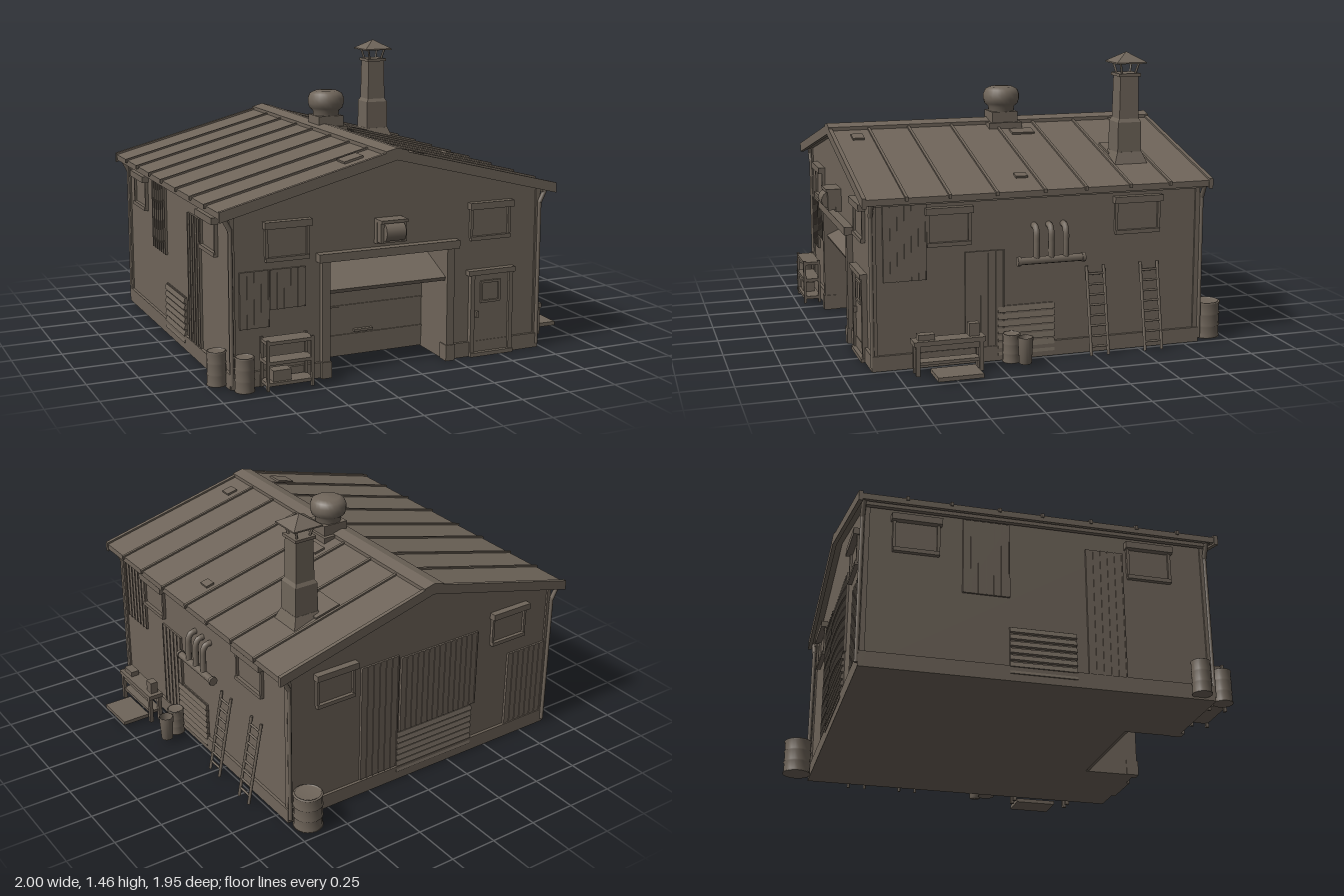
import * as THREE from 'three';

const mat = new THREE.MeshStandardMaterial({ color: 0x6f655a });
mat.name = 'weathered grey brown';

const RIDGE = -0.09, SLOPE = 0.255;
const roofY = (x) => 1.065 - SLOPE * Math.abs(x - RIDGE);

function add(parent, name, geo, x = 0, y = 0, z = 0, rx = 0, ry = 0, rz = 0) {
  const m = new THREE.Mesh(geo, mat);
  m.name = name;
  m.position.set(x, y, z);
  m.rotation.set(rx, ry, rz);
  parent.add(m);
  return m;
}
// Box given by its min and max on each axis
function box(parent, name, x0, x1, y0, y1, z0, z1) {
  return add(parent, name, new THREE.BoxGeometry(x1 - x0, y1 - y0, z1 - z0), (x0 + x1) / 2, (y0 + y1) / 2, (z0 + z1) / 2);
}
function extrude(parent, name, pts, z0, z1) {
  const s = new THREE.Shape(pts.map((p) => new THREE.Vector2(p[0], p[1])));
  return add(parent, name, new THREE.ExtrudeGeometry(s, { depth: z1 - z0, bevelEnabled: false }), 0, 0, z0);
}
// Round rod between two points
function rod(parent, name, a, b, r) {
  const c = new THREE.LineCurve3(new THREE.Vector3(...a), new THREE.Vector3(...b));
  const m = add(parent, name, new THREE.CylinderGeometry(r, r, c.getLength(), 8));
  m.position.copy(c.getPoint(0.5));
  m.quaternion.setFromUnitVectors(new THREE.Vector3(0, 1, 0), c.getTangent(0));
}
function lathe(parent, name, pts, x, y, z, seg = 20) {
  return add(parent, name, new THREE.LatheGeometry(pts.map((p) => new THREE.Vector2(p[0], p[1])), seg), x, y, z);
}
function group(parent, name, x = 0, y = 0, z = 0, ry = 0) {
  const g = new THREE.Group();
  g.name = name;
  g.position.set(x, y, z);
  g.rotation.y = ry;
  parent.add(g);
  return g;
}

// Wall details: local x along the wall, local z outwards
function windowUnit(w, x0, x1, y0 = 0.6, y1 = 0.77) {
  const g = group(w, 'window');
  box(g, 'windowPane', x0, x1, y0, y1, -0.01, 0.004);
  box(g, 'windowLintel', x0 - 0.015, x1 + 0.015, y1 - 0.025, y1 + 0.008, 0, 0.035);
  box(g, 'windowSill', x0 - 0.005, x1 + 0.005, y0 - 0.012, y0 + 0.008, 0, 0.022);
  for (const x of [x0, x1]) box(g, 'windowJamb', x - 0.007, x + 0.007, y0, y1, 0, 0.016);
}
function sheet(w, x0, x1, y0, y1) {
  const g = group(w, 'patchSheet');
  box(g, 'sheet', x0, x1, y0, y1, -0.005, 0.009);
  const n = Math.max(2, Math.round((x1 - x0) / 0.035));
  for (let i = 0; i <= n; i++) {
    const x = x0 + ((x1 - x0) * i) / n;
    box(g, 'sheetRib', x - 0.003, x + 0.003, y0, y1, 0, 0.013);
  }
}
function louvre(w, x0, x1, y0, y1) {
  const g = group(w, 'corrugatedPanel');
  box(g, 'backing', x0, x1, y0, y1, -0.005, 0.006);
  const n = Math.round((y1 - y0) / 0.034), h = (y1 - y0) / n;
  for (let i = 0; i < n; i++)
    add(g, 'corrugation', new THREE.BoxGeometry(x1 - x0, h * 0.75, 0.012), (x0 + x1) / 2, y0 + (i + 0.5) * h, 0.01, -0.3);
}
function barrel(parent, x, z, r, h) {
  const p = [[0, 0], [r, 0]];
  for (const t of [0.03, 0.33, 0.66, 0.97]) p.push([r * 0.94, h * (t - 0.025)], [r, h * t], [r * 0.94, h * (t + 0.025)]);
  p.push([r * 0.85, h], [r * 0.85, h * 0.96], [0, h * 0.96]);
  lathe(parent, 'barrel', p, x, 0.01, z);
}

export function createModel() {
  const root = new THREE.Group();
  root.name = 'workshop';

  // Walls with a recessed garage bay
  const gable = [[0.72, 0.835], [RIDGE, 1.04], [-0.9, 0.835]];
  extrude(root, 'mainWalls', [[-0.9, 0], [0.72, 0], ...gable], -0.82, 0.58);
  extrude(root, 'frontWalls', [[-0.9, 0], [-0.42, 0], [-0.42, 0.56], [0.2, 0.56], [0.2, 0], [0.72, 0], ...gable], 0.58, 0.84);

  // Plinth and corner posts
  box(root, 'plinthBack', -0.915, 0.735, 0, 0.075, -0.835, -0.8);
  box(root, 'plinthLeft', 0.7, 0.735, 0, 0.075, -0.83, 0.85);
  box(root, 'plinthRight', -0.915, -0.88, 0, 0.075, -0.83, 0.85);
  box(root, 'plinthFront', -0.91, -0.46, 0, 0.075, 0.82, 0.855);
  box(root, 'plinthFront', 0.24, 0.73, 0, 0.075, 0.82, 0.855);
  for (const x of [-0.897, 0.717]) for (const z of [-0.817, 0.837]) box(root, 'cornerPost', x - 0.012, x + 0.012, 0, 0.83, z - 0.012, z + 0.012);

  // Roof shell, ribs, edge trims and ridge cap
  const chevron = (lift, t, half) => [[RIDGE - half, roofY(RIDGE - half) + lift - t], [RIDGE, 1.065 + lift - t], [RIDGE + half, roofY(RIDGE + half) + lift - t],
    [RIDGE + half, roofY(RIDGE + half) + lift], [RIDGE, 1.065 + lift], [RIDGE - half, roofY(RIDGE - half) + lift]];
  extrude(root, 'roof', chevron(0, 0.03, 0.875), -0.86, 0.89);
  for (const z of [-0.64, -0.43, -0.2, 0.01, 0.25, 0.48, 0.69]) extrude(root, 'roofRib', chevron(0.009, 0.02, 0.885), z - 0.007, z + 0.007);
  for (const z of [-0.86, 0.89]) extrude(root, 'roofEdge', chevron(0.01, 0.05, 0.88), z - 0.01, z + 0.01);
  extrude(root, 'ridgeCap', chevron(0.018, 0.03, 0.058), -0.87, 0.9);
  for (const [x, z, w, d] of [[0.62, 0.08, 0.045, 0.06], [-0.27, 0.76, 0.1, 0.09], [0.07, 0.77, 0.06, 0.06], [0.09, -0.1, 0.06, 0.12], [0.36, -0.54, 0.14, 0.17]])
    add(root, 'roofPatch', new THREE.BoxGeometry(w, 0.012, d), x, roofY(x) + 0.005, z, 0, 0, x > RIDGE ? -0.25 : 0.25);

  // Eave boards, gutters and short downpipe elbows
  for (const [x, s] of [[-0.925, -1], [0.745, 1]]) {
    box(root, 'eaveBoard', x - 0.012, x + 0.012, 0.8, 0.845, -0.84, 0.86);
    add(root, 'gutter', new THREE.CylinderGeometry(0.016, 0.016, 1.74, 8), x + s * 0.02, 0.83, 0.015, Math.PI / 2);
    for (const z of [-0.84, 0.85]) {
      rod(root, 'downpipeElbow', [x + s * 0.015, 0.82, z], [x - s * 0.02, 0.75, z], 0.012);
      rod(root, 'downpipe', [x - s * 0.02, 0.76, z], [x - s * 0.02, 0.02, z], 0.01);
    }
  }

  // Chimney with flared base and raised cap
  const ch = group(root, 'chimney', 0.46, 0, -0.53);
  const square = (name, r0, r1, y0, y1) => add(ch, name, new THREE.CylinderGeometry(r1 * Math.SQRT2, r0 * Math.SQRT2, y1 - y0, 4).toNonIndexed(), 0, (y0 + y1) / 2, 0, 0, Math.PI / 4).geometry.computeVertexNormals();
  square('flashing', 0.1, 0.065, 0.87, 0.96);
  square('chimneyBase', 0.064, 0.062, 0.95, 1.11);
  square('chimneyShoulder', 0.062, 0.05, 1.11, 1.13);
  square('chimneyStack', 0.052, 0.048, 1.12, 1.35);
  square('chimneyRim', 0.057, 0.057, 1.34, 1.355);
  square('chimneyCapEdge', 0.08, 0.08, 1.405, 1.412);
  square('chimneyCap', 0.08, 0.002, 1.412, 1.46);
  for (const x of [-1, 1]) for (const z of [-1, 1]) rod(ch, 'capLeg', [x * 0.033, 1.34, z * 0.033], [x * 0.05, 1.41, z * 0.05], 0.006);

  // Ridge ventilator
  const vent = group(root, 'ridgeVentilator', -0.05, 0, -0.03);
  box(vent, 'ventBase', -0.085, 0.085, 1.0, 1.065, -0.09, 0.09);
  box(vent, 'ventNeck', -0.07, 0.07, 1.05, 1.12, -0.07, 0.07);
  lathe(vent, 'ventHead', [[0.065, 1.1], [0.07, 1.145], [0.088, 1.16], [0.095, 1.185], [0.095, 1.21], [0.085, 1.235], [0.06, 1.248], [0, 1.252]], 0, 0, 0, 24);

  const front = group(root, 'frontWallDetails', 0, 0, 0.84);
  const left = group(root, 'leftWallDetails', 0.72, 0, 0, Math.PI / 2);
  const back = group(root, 'backWallDetails', 0, 0, -0.82, Math.PI);
  const right = group(root, 'rightWallDetails', -0.9, 0, 0, -Math.PI / 2);

  // Garage bay: posts, header, recessed door and tilted upper panel
  for (const x of [-0.44, 0.22]) {
    box(front, 'garagePost', x - 0.02, x + 0.02, 0, 0.57, -0.03, 0.03);
    box(front, 'postFoot', x - 0.025, x + 0.025, 0, 0.08, -0.03, 0.036);
  }
  box(front, 'garageHeader', -0.48, 0.26, 0.565, 0.605, -0.02, 0.045);
  box(front, 'garageDoor', -0.42, 0.2, 0.005, 0.56, -0.27, -0.24);
  for (const y of [0.11, 0.26, 0.4]) box(front, 'doorSeam', -0.42, 0.2, y - 0.004, y + 0.004, -0.24, -0.234);
  box(front, 'doorHandle', -0.18, -0.08, 0.125, 0.137, -0.24, -0.22);
  add(front, 'tiltedDoorPanel', new THREE.BoxGeometry(0.62, 0.02, 0.27), -0.11, 0.465, -0.115, 0.41);

  // Lamp housing above the bay
  const lamp = group(front, 'lamp', -0.11, 0.685, 0);
  box(lamp, 'lampBracket', -0.07, 0.07, -0.06, 0.06, 0, 0.03);
  add(lamp, 'lampDrum', new THREE.CylinderGeometry(0.045, 0.045, 0.1, 16), 0, 0, 0.055, 0, 0, Math.PI / 2);
  for (const x of [-0.06, 0.06]) box(lamp, 'lampArm', x - 0.008, x + 0.008, -0.05, 0.05, 0, 0.07);
  box(lamp, 'lampHood', -0.07, 0.07, 0.045, 0.06, 0, 0.08);

  // Side entrance
  const door = group(front, 'entranceDoor', 0.455, 0, 0);
  box(door, 'doorLeaf', -0.1, 0.1, 0.02, 0.42, 0, 0.012);
  for (const x of [-0.108, 0.108]) box(door, 'doorJamb', x - 0.011, x + 0.011, 0, 0.43, 0, 0.026);
  box(door, 'doorLintel', -0.135, 0.125, 0.415, 0.44, 0, 0.035);
  box(door, 'doorStep', -0.12, 0.12, 0, 0.02, 0, 0.035);
  for (const y of [0.275, 0.375]) box(door, 'glassFrame', -0.06, 0.05, y - 0.006, y + 0.006, 0.01, 0.022);
  for (const x of [-0.055, 0.045]) box(door, 'glassFrame', x - 0.006, x + 0.006, 0.275, 0.375, 0.01, 0.022);
  box(door, 'knob', -0.09, -0.075, 0.2, 0.23, 0.01, 0.03);

  // Windows, patch sheets and corrugated panels
  [[front, -0.73, -0.525], [front, 0.34, 0.55], [left, -0.575, -0.37], [left, 0.38, 0.605], [back, -0.56, -0.35], [back, 0.52, 0.73],
    [right, -0.69, -0.48], [right, 0.45, 0.66]].forEach((a) => windowUnit(...a));
  [[front, -0.86, -0.72, 0.28, 0.55], [front, -0.71, -0.54, 0.36, 0.55], [left, -0.79, -0.585, 0.43, 0.8], [left, -0.39, -0.2, 0.05, 0.55],
    [back, -0.3, -0.08, 0.08, 0.72], [back, -0.06, 0.42, 0.28, 0.7], [back, 0.64, 0.89, 0.05, 0.5], [right, -0.36, -0.14, 0.42, 0.8],
    [right, 0.24, 0.42, 0.06, 0.72]].forEach((a) => sheet(...a));
  louvre(left, -0.23, 0.06, 0.02, 0.27);
  louvre(back, -0.08, 0.4, 0.04, 0.28);
  louvre(right, -0.14, 0.18, 0.03, 0.27);

  // Pipe manifold with three risers bending into the wall
  const pipes = group(left, 'pipeManifold');
  rod(pipes, 'mainPipe', [-0.13, 0.495, 0.045], [0.19, 0.495, 0.045], 0.019);
  for (const x of [-0.135, 0.195]) rod(pipes, 'endFlange', [x - 0.008, 0.495, 0.045], [x + 0.008, 0.495, 0.045], 0.024);
  for (const x of [-0.045, 0.03, 0.105]) {
    const c = new THREE.CatmullRomCurve3([[0.49, 0.045], [0.58, 0.045], [0.63, 0.042], [0.655, 0.025], [0.66, -0.01]].map((p) => new THREE.Vector3(x, p[0], p[1])));
    add(pipes, 'riser', new THREE.TubeGeometry(c, 16, 0.016, 10));
  }

  // Leaning ladders
  for (const x of [0.27, 0.555]) {
    const g = group(left, 'ladder', x, 0, 0);
    for (const s of [-0.045, 0.045]) rod(g, 'ladderRail', [s, 0.005, 0.095], [s, 0.44, 0.012], 0.008);
    for (let i = 0; i < 8; i++) rod(g, 'ladderRung', [-0.045, 0.05 + i * 0.05, 0.087 - i * 0.0095], [0.045, 0.05 + i * 0.05, 0.087 - i * 0.0095], 0.006);
  }

  // Work bench with shelf and clutter
  const bench = group(left, 'workBench', -0.505, 0, 0.1);
  box(bench, 'benchTop', -0.175, 0.175, 0.145, 0.168, -0.035, 0.045);
  box(bench, 'benchShelf', -0.155, 0.155, 0.05, 0.065, -0.03, 0.035);
  box(bench, 'benchApron', -0.16, 0.16, 0.115, 0.145, 0.025, 0.035);
  for (const x of [-0.155, 0.155]) for (const z of [-0.022, 0.032]) box(bench, 'benchLeg', x - 0.01, x + 0.01, 0, 0.15, z - 0.01, z + 0.01);
  box(bench, 'toolBox', -0.15, -0.07, 0.165, 0.195, -0.02, 0.025);
  box(bench, 'vise', 0.1, 0.15, 0.165, 0.23, -0.02, 0.02);
  box(root, 'groundPlate', 0.85, 1.0, 0.012, 0.032, 0.38, 0.6);

  // Bucket, small drum, barrels
  lathe(root, 'bucket', [[0, 0.02], [0.03, 0.02], [0.038, 0.15], [0.033, 0.15], [0.027, 0.035], [0, 0.035]], 0.87, 0, 0.135);
  barrel(root, 0.79, 0.18, 0.045, 0.14);
  barrel(root, 0.665, -0.905, 0.075, 0.185);
  barrel(root, -0.952, 0.77, 0.048, 0.165);
  barrel(root, -0.865, 0.91, 0.048, 0.165);

  // Storage rack by the front wall
  const rack = group(front, 'storageRack', -0.66, 0, 0.08);
  for (const x of [-0.11, 0.11]) for (const z of [-0.04, 0.04]) box(rack, 'rackPost', x - 0.007, x + 0.007, 0.01, 0.25, z - 0.007, z + 0.007);
  for (const y of [0.04, 0.14, 0.235]) box(rack, 'rackShelf', -0.115, 0.115, y - 0.008, y + 0.008, -0.045, 0.045);
  box(rack, 'crate', -0.08, 0.01, 0.045, 0.1, -0.03, 0.03);
  return root;
}
